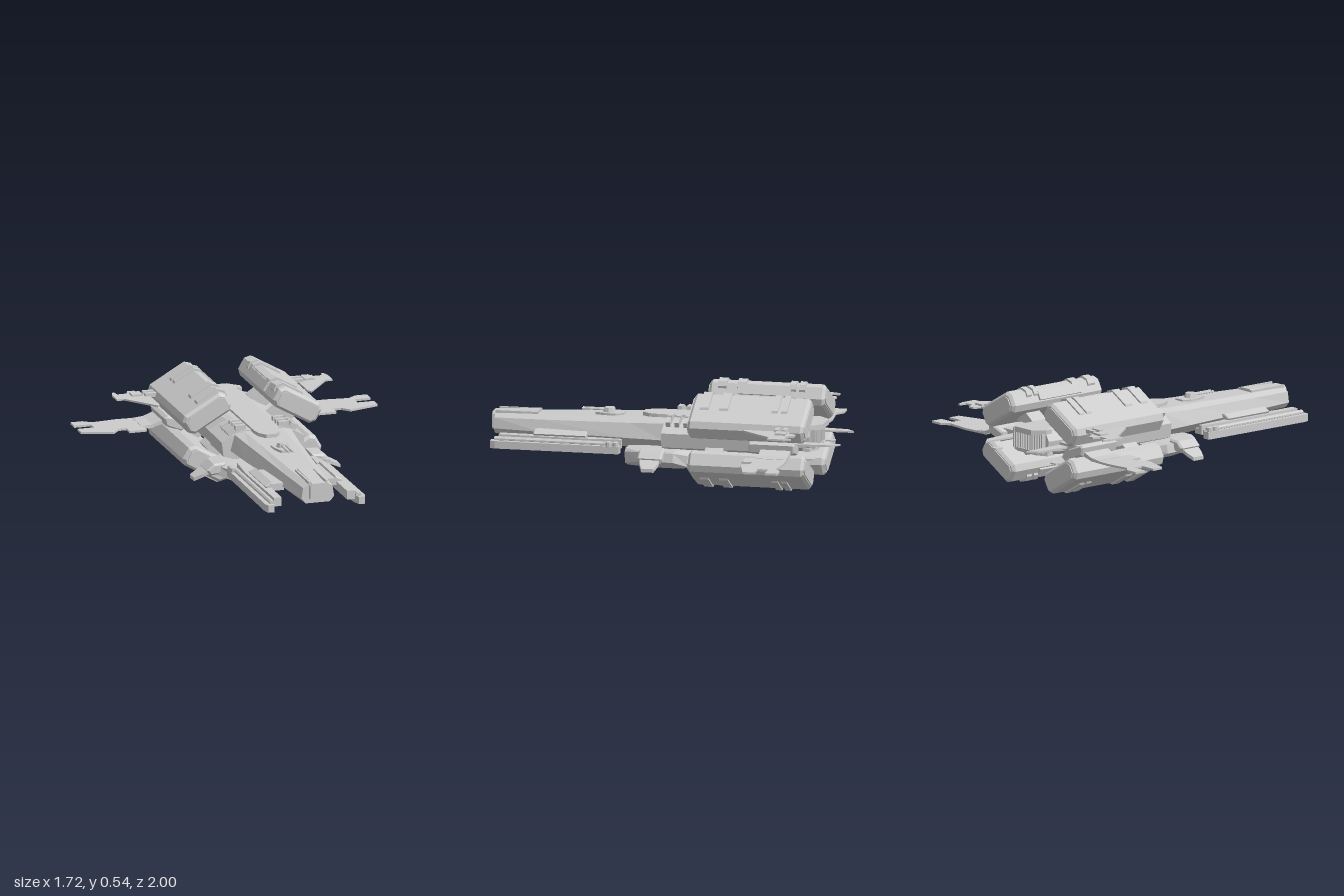
import * as THREE from 'three';

const grey = new THREE.MeshStandardMaterial({ color: 0xcccccc, flatShading: true, side: THREE.DoubleSide });

// Hull skin through symmetric half profiles, listed front to back: [z, [[x, y], ...top to bottom]]
function loft(sections) {
  const rings = sections.map(([z, half]) => [
    ...half.map(([x, y]) => [x, y, z]),
    ...half.slice().reverse().map(([x, y]) => [-x, y, z])]);
  const n = rings[0].length, v = [];
  const tri = (a, b, c) => v.push(...a, ...b, ...c);
  for (let s = 0; s < rings.length - 1; s++) {
    const a = rings[s], b = rings[s + 1];
    for (let i = 0; i < n; i++) {
      const j = (i + 1) % n;
      tri(a[i], a[j], b[j]);
      tri(a[i], b[j], b[i]);
    }
  }
  const f = rings[0], r = rings[rings.length - 1];
  for (let i = 1; i < n - 1; i++) {
    tri(f[0], f[i + 1], f[i]);
    tri(r[0], r[i], r[i + 1]);
  }
  const g = new THREE.BufferGeometry();
  g.setAttribute('position', new THREE.Float32BufferAttribute(v, 3));
  g.computeVertexNormals();
  return g;
}

const shapeOf = pts => new THREE.Shape(pts.map(p => new THREE.Vector2(...p)));

// Outline in x, y run from z0 to z1, with optional bevelled ends
function prism(pts, z0, z1, bevel = 0) {
  return new THREE.ExtrudeGeometry(shapeOf(pts), {
    depth: z1 - z0 - 2 * bevel, bevelEnabled: bevel > 0, bevelThickness: bevel,
    bevelSize: bevel, bevelOffset: -bevel, bevelSegments: 1,
  }).translate(0, 0, z0 + bevel);
}

// Thin horizontal plate from an outline in x, z
const plate = (pts, top, thick) =>
  new THREE.ExtrudeGeometry(shapeOf(pts), { depth: thick, bevelEnabled: false }).rotateX(Math.PI / 2).translate(0, top, 0);

const box = (x, y, z, w, h, d, tilt = 0) => new THREE.BoxGeometry(w, h, d).rotateZ(tilt).translate(x, y, z);

const rod = (x, y, z, r, len, sides = 8) =>
  new THREE.CylinderGeometry(r, r, len, sides).rotateX(Math.PI / 2).translate(x, y, z);

// Rectangle with cut corners
function cutRect(w, h, c) {
  const a = w / 2, b = h / 2;
  return [[-a + c, -b], [a - c, -b], [a, -b + c], [a, b - c], [a - c, b], [-a + c, b], [-a, b - c], [-a, -b + c]];
}

function mirrored(geo) {
  const g = geo.index ? geo.toNonIndexed() : geo.clone();
  g.scale(-1, 1, 1);
  const p = g.attributes.position;
  for (let i = 0; i < p.count; i += 3) {
    const [x, y, z] = [p.getX(i), p.getY(i), p.getZ(i)];
    p.setXYZ(i, p.getX(i + 1), p.getY(i + 1), p.getZ(i + 1));
    p.setXYZ(i + 1, x, y, z);
  }
  g.computeVertexNormals();
  return g;
}

export function createModel() {
  const model = new THREE.Group();
  model.name = 'spaceship';
  const add = (name, geo) => {
    const m = new THREE.Mesh(geo, grey);
    m.name = name;
    model.add(m);
  };
  const pair = (name, geo) => {
    add(name + 'Left', geo);
    add(name + 'Right', mirrored(geo));
  };

  // Front hull, rear hull and dorsal ridge
  add('frontHull', loft([
    [0.98, [[0.05, 0.33], [0.085, 0.31], [0.095, 0.25], [0.07, 0.22]]],
    [0.72, [[0.07, 0.335], [0.105, 0.315], [0.125, 0.25], [0.06, 0.205]]],
    [0.2, [[0.1, 0.35], [0.145, 0.33], [0.175, 0.25], [0.06, 0.175]]],
    [0.0, [[0.11, 0.355], [0.165, 0.34], [0.19, 0.25], [0.06, 0.17]]],
  ]));
  add('rearHull', loft([
    [0.0, [[0.1, 0.36], [0.18, 0.335], [0.24, 0.3], [0.23, 0.22], [0.08, 0.17]]],
    [-0.5, [[0.1, 0.36], [0.17, 0.335], [0.23, 0.3], [0.22, 0.22], [0.08, 0.18]]],
    [-0.56, [[0.1, 0.36], [0.15, 0.335], [0.18, 0.3], [0.17, 0.22], [0.08, 0.19]]],
    [-0.82, [[0.09, 0.36], [0.13, 0.335], [0.15, 0.3], [0.14, 0.24], [0.08, 0.21]]],
  ]));
  add('dorsalRidge', plate([[-0.07, -0.58], [0.07, -0.58], [0.07, 0.06], [0.06, 0.11], [0.03, 0.15],
    [-0.03, 0.15], [-0.06, 0.11], [-0.07, 0.06]], 0.372, 0.03));

  // Exhaust hood, floor and upright slats
  add('exhaustHood', plate([[-0.13, -0.78], [-0.13, -0.82], [-0.07, -0.88], [0.07, -0.88], [0.13, -0.82], [0.13, -0.78]], 0.36, 0.03));
  add('exhaustFloor', plate([[-0.14, -0.78], [-0.14, -0.82], [-0.08, -0.85], [0.08, -0.85], [0.14, -0.82], [0.14, -0.78]], 0.235, 0.02));
  for (let i = -6; i <= 6; i++) add('exhaustSlat', box(i * 0.02, 0.285, -0.83, 0.008, 0.11, 0.03));

  // Nose cover with round sensor
  add('noseCover', loft([
    [1.0, [[0.035, 0.335], [0.05, 0.32], [0.05, 0.245], [0.03, 0.23]]],
    [0.74, [[0.04, 0.35], [0.05, 0.335], [0.05, 0.26], [0.03, 0.25]]],
  ]));
  add('noseRing', new THREE.TorusGeometry(0.03, 0.006, 6, 16).translate(0, 0.295, 0.994));
  add('noseLens', rod(0, 0.295, 0.985, 0.025, 0.02, 16));
  pair('noseRail', box(0.05, 0.335, 0.86, 0.01, 0.02, 0.24));

  // Dorsal turret with twin barrels
  add('turretBase', plate([[-0.03, 0.26], [0.03, 0.26], [0.055, 0.3], [0.05, 0.36], [0.03, 0.42], [-0.03, 0.42], [-0.05, 0.36], [-0.055, 0.3]], 0.358, 0.03));
  add('turretHead', new THREE.CylinderGeometry(0.03, 0.038, 0.03, 8).translate(0, 0.367, 0.345));
  pair('turretBarrel', rod(0.012, 0.37, 0.43, 0.006, 0.14, 6));

  // Vent bars on the shoulders
  for (const z of [-0.03, -0.08, -0.13]) {
    pair('ventBar', box(0.125, 0.365, z, 0.06, 0.04, 0.025));
    pair('ventBarOuter', box(0.178, 0.35, z, 0.045, 0.04, 0.025, -0.5));
  }

  // Four tilted nacelles with bands, brackets and inner strips
  for (const [level, cy, tilt, out] of [['upper', 0.415, -0.52, 1], ['lower', 0.125, 0.52, -1]]) {
    const place = g => g.rotateZ(tilt).translate(0.262, cy, 0);
    pair(level + 'Nacelle', place(prism(cutRect(0.285, 0.125, 0.028), -0.84, -0.185, 0.015)));
    pair(level + 'NacelleCap', place(prism(cutRect(0.24, 0.085, 0.02), -0.846, -0.178)));
    for (const [z, d] of [[-0.26, 0.05], [-0.37, 0.05], [-0.66, 0.035], [-0.712, 0.035]])
      pair(level + 'NacelleBand', place(prism(cutRect(0.19, 0.09, 0.03), z - d / 2, z + d / 2).translate(-0.057, out * 0.027, 0)));
    pair(level + 'NacelleStrip', place(box(-0.145, 0, -0.5, 0.02, 0.055, 0.3)));
    for (const z of [-0.3, -0.65])
      pair(level + 'NacelleBracket', box(0.19, 0.27 + out * 0.07, z, 0.1, 0.09, 0.1, out * 0.6));
  }

  // Side pods carrying the main wings
  pair('wingStrut', box(0.24, 0.27, -0.65, 0.16, 0.04, 0.2));
  pair('wingPod', prism([[0.28, 0.24], [0.3, 0.22], [0.39, 0.255], [0.4, 0.3], [0.38, 0.312], [0.28, 0.275]], -0.79, -0.53, 0.008));
  pair('wingRoot', prism([[0.36, 0.255], [0.45, 0.235], [0.51, 0.233], [0.51, 0.247], [0.45, 0.252], [0.36, 0.285]], -0.77, -0.6));

  // Notched main wings
  pair('mainWing', plate([[0.44, -0.77], [0.6, -0.78], [0.745, -0.765], [0.79, -0.8], [0.86, -0.8], [0.86, -0.73],
    [0.765, -0.73], [0.765, -0.67], [0.86, -0.67], [0.86, -0.605], [0.685, -0.555], [0.645, -0.6],
    [0.6, -0.6], [0.6, -0.54], [0.5, -0.54], [0.5, -0.59], [0.44, -0.6]], 0.245, 0.012));

  // Upper fins with mounting rods
  pair('upperFin', plate([[0.43, -0.77], [0.47, -0.78], [0.485, -0.82], [0.525, -0.82], [0.54, -0.78], [0.595, -0.78],
    [0.6, -0.82], [0.61, -0.82], [0.625, -0.78], [0.625, -0.69], [0.585, -0.69], [0.445, -0.51], [0.43, -0.53]], 0.387, 0.01));
  pair('upperFinRidge', box(0.5, 0.39, -0.74, 0.06, 0.016, 0.06));
  for (const z of [-0.75, -0.705]) pair('upperFinRod', box(0.415, 0.392, z, 0.09, 0.022, 0.025));

  // Tail fins
  pair('tailFin', plate([[0.16, -0.75], [0.17, -1.0], [0.215, -0.955], [0.225, -0.84], [0.23, -0.75]], 0.275, 0.01));
  pair('tailTab', box(0.25, 0.2, -0.85, 0.04, 0.008, 0.05));

  // Belly shield: an eight-sided dish bent upward at the sides
  add('bellyShield', loft([
    [0.22, [[0.15, 0.19], [0.18, 0.175], [0.17, 0.11], [0.1, 0.085]]],
    [0.1, [[0.2, 0.2], [0.29, 0.2], [0.3, 0.15], [0.12, 0.08]]],
    [-0.08, [[0.2, 0.2], [0.29, 0.2], [0.3, 0.15], [0.12, 0.08]]],
    [-0.15, [[0.15, 0.19], [0.22, 0.175], [0.21, 0.11], [0.1, 0.085]]],
  ]));

  // Shield mounts and drooping side fins
  pair('shieldMount', prism([[0.24, 0.16], [0.34, 0.15], [0.36, 0.18], [0.32, 0.215], [0.25, 0.22]], -0.03, 0.11, 0.01));
  const fin = plate([[0.32, -0.02], [0.38, -0.015], [0.425, 0.0], [0.425, 0.07], [0.38, 0.09], [0.32, 0.1]], 0.19, 0.02);
  const fp = fin.attributes.position;
  for (let i = 0; i < fp.count; i++) fp.setY(i, fp.getY(i) - (fp.getX(i) - 0.32) * 0.5);
  pair('sideFin', fin);

  // Forward gun pods
  pair('gunPod', plate([[0.24, 0.23], [0.285, 0.23], [0.29, 0.93], [0.28, 0.96], [0.245, 0.96], [0.23, 0.9], [0.23, 0.4]], 0.222, 0.042));
  pair('gunPodRail', prism(cutRect(0.03, 0.025, 0.008), 0.25, 0.94).translate(0.25, 0.228, 0));
  pair('gunPodFairing', plate([[0.2, 0.23], [0.225, 0.23], [0.24, 0.42], [0.235, 0.92], [0.19, 0.92], [0.19, 0.42]], 0.25, 0.05));
  pair('gunPodUpper', prism([[0.17, 0.25], [0.21, 0.235], [0.225, 0.26], [0.185, 0.28]], 0.43, 0.73, 0.005));
  pair('gunPodStrut', box(0.155, 0.25, 0.59, 0.08, 0.04, 0.28));
  pair('gunPodTail', box(0.2, 0.21, 0.28, 0.08, 0.03, 0.08));
  for (const z of [0.25, 0.29])
    pair('gunPodKnob', new THREE.CylinderGeometry(0.018, 0.018, 0.03, 10).translate(0.27, 0.23, z));

  return model;
}
